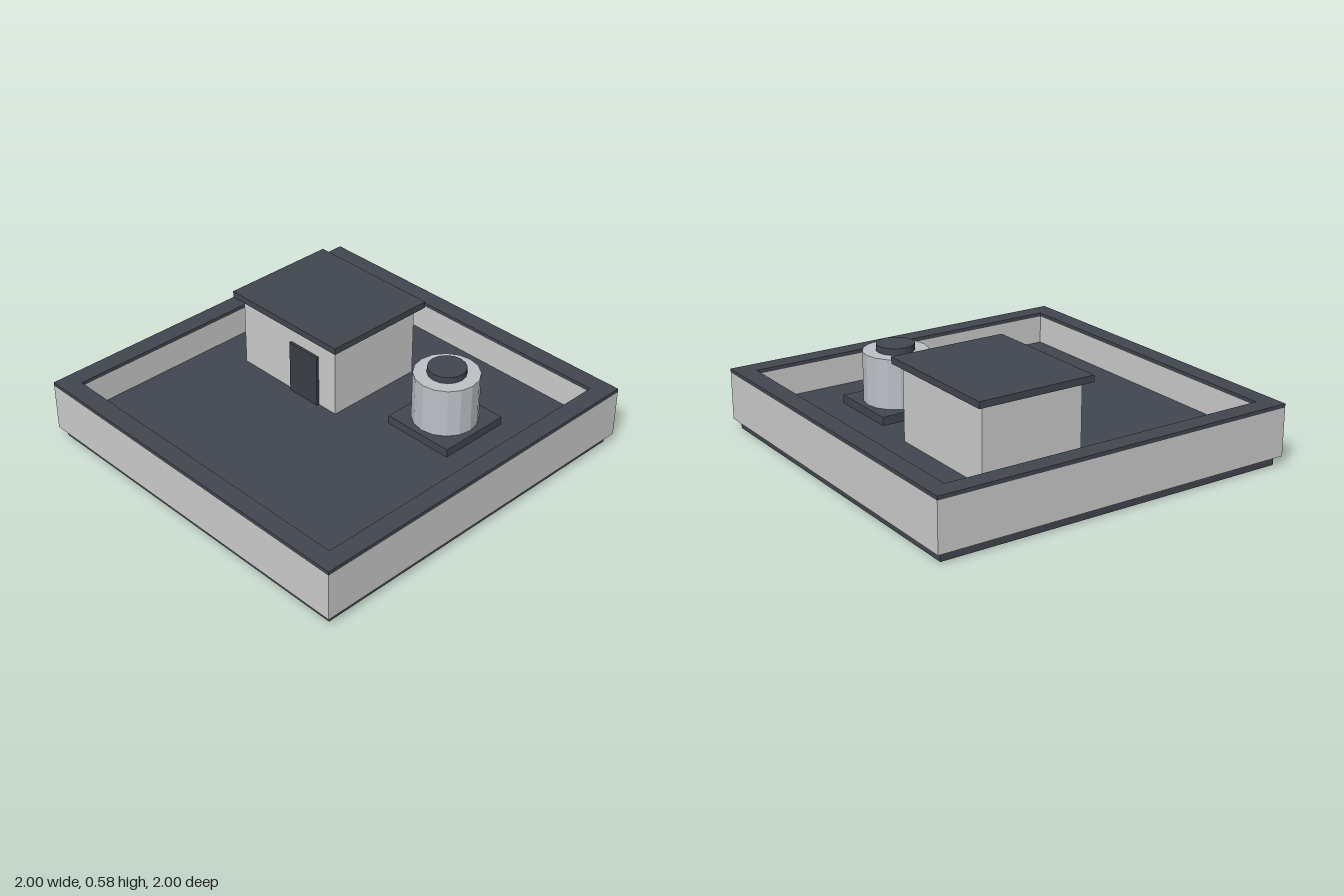
import * as THREE from 'three';

const wallMat = new THREE.MeshStandardMaterial({ color: 0xcccccc });
const darkMat = new THREE.MeshStandardMaterial({ color: 0x41474f });
const doorMat = new THREE.MeshStandardMaterial({ color: 0x393f46 });
const tankMat = new THREE.MeshStandardMaterial({ color: 0xbcc1c6, flatShading: true });
const capMat = new THREE.MeshStandardMaterial({ color: 0x41474f, flatShading: true });

const FLOOR = 0.15;

function add(parent, name, geometry, material, x, y, z) {
  const mesh = new THREE.Mesh(geometry, material);
  mesh.name = name;
  mesh.position.set(x, y, z);
  parent.add(mesh);
  return mesh;
}

// Box given by its ranges along each axis
function box(parent, name, material, [x0, x1], [y0, y1], [z0, z1]) {
  return add(parent, name, new THREE.BoxGeometry(x1 - x0, y1 - y0, z1 - z0), material,
    (x0 + x1) / 2, (y0 + y1) / 2, (z0 + z1) / 2);
}

// Upright 16-sided drum
function drum(parent, name, material, radius, y0, y1, x, z) {
  return add(parent, name, new THREE.CylinderGeometry(radius, radius, y1 - y0, 16), material,
    x, (y0 + y1) / 2, z);
}

// Square ring lying flat between two heights
function squareRing(parent, name, material, outer, inner, y0, y1) {
  const square = (r) => [[-r, -r], [r, -r], [r, r], [-r, r]].map(([x, y]) => new THREE.Vector2(x, y));
  const shape = new THREE.Shape(square(outer));
  shape.holes.push(new THREE.Path(square(inner).reverse()));
  const geometry = new THREE.ExtrudeGeometry(shape, { depth: y1 - y0, bevelEnabled: false });
  geometry.rotateX(-Math.PI / 2);
  return add(parent, name, geometry, material, 0, y0, 0);
}

export function createModel() {
  const model = new THREE.Group();
  model.name = 'flatRoof';

  // Base, roof deck and parapet
  box(model, 'basePlate', darkMat, [-0.97, 0.97], [0, 0.05], [-0.97, 0.97]);
  box(model, 'roofDeck', darkMat, [-0.9, 0.9], [0.05, FLOOR], [-0.9, 0.9]);
  squareRing(model, 'parapetWall', wallMat, 1, 0.9, 0.05, 0.305);
  squareRing(model, 'parapetCoping', darkMat, 1, 0.9, 0.305, 0.325);

  // Stair hut with overhanging roof and door
  const hut = new THREE.Group();
  hut.name = 'stairHut';
  model.add(hut);
  box(hut, 'hutWalls', wallMat, [-0.68, 0], [FLOOR, 0.545], [-0.56, 0]);
  box(hut, 'hutRoof', darkMat, [-0.72, 0.04], [0.545, 0.58], [-0.6, 0.04]);
  box(hut, 'hutDoor', doorMat, [-0.32, -0.12], [FLOOR, 0.44], [-0.01, 0.015]);

  // Vent unit on a square pad
  const vent = new THREE.Group();
  vent.name = 'ventUnit';
  model.add(vent);
  box(vent, 'ventPad', darkMat, [0.24, 0.64], [FLOOR, 0.195], [-0.54, -0.14]);
  drum(vent, 'ventDrum', tankMat, 0.17, 0.195, 0.46, 0.44, -0.34);
  drum(vent, 'ventCap', capMat, 0.1, 0.46, 0.495, 0.44, -0.34);

  return model;
}
